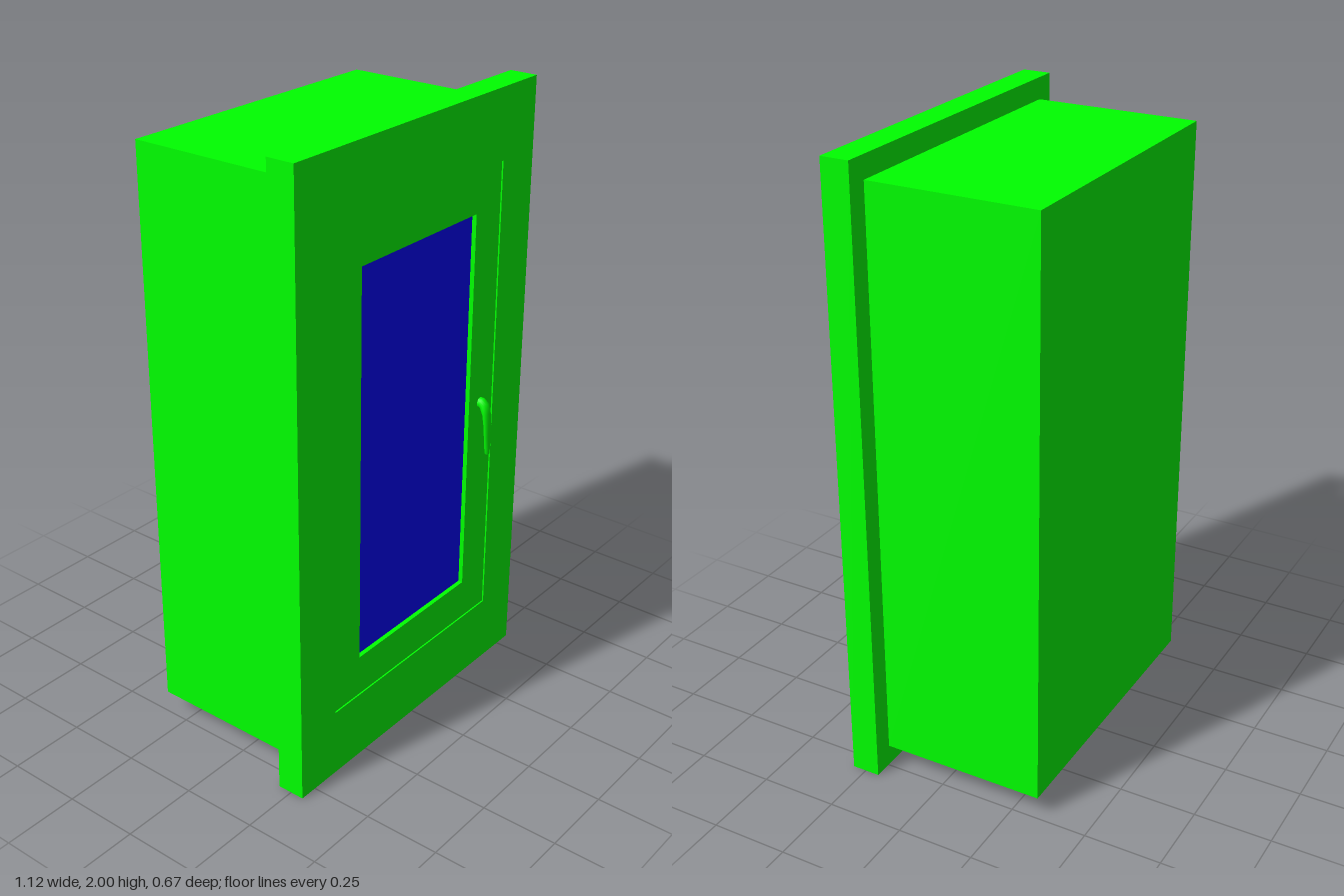
import * as THREE from 'three';

const GREEN = new THREE.MeshStandardMaterial({ color: 0x00ff00 });
const BLUE = new THREE.MeshStandardMaterial({ color: 0x0000ff });

function add(parent, name, geometry, material, x = 0, y = 0, z = 0) {
  const mesh = new THREE.Mesh(geometry, material);
  mesh.name = name;
  mesh.position.set(x, y, z);
  parent.add(mesh);
  return mesh;
}

// Rectangular panel with a rectangular opening, centred on x and y, back at z = 0
function framePanel(w, h, holeW, holeH, depth) {
  const corners = (a, b) => [[-a, -b], [a, -b], [a, b], [-a, b]].map(([x, y]) => new THREE.Vector2(x / 2, y / 2));
  const shape = new THREE.Shape(corners(w, h));
  shape.holes.push(new THREE.Path(corners(holeW, holeH).reverse()));
  return new THREE.ExtrudeGeometry(shape, { depth, bevelEnabled: false });
}

// Lever lofted through elliptical sections: [y, z, half width, half thickness]
function leverGeometry() {
  const sections = [
    [1.0, 0.285, 0.016, 0.018], [1.0, 0.297, 0.016, 0.018], [0.993, 0.308, 0.018, 0.015],
    [0.967, 0.317, 0.019, 0.010], [0.93, 0.322, 0.018, 0.009], [0.89, 0.324, 0.016, 0.008],
    [0.85, 0.325, 0.012, 0.008], [0.83, 0.3255, 0.008, 0.0075], [0.823, 0.3255, 0.003, 0.004],
  ];
  const sides = 20, positions = [], index = [];
  sections.forEach(([y, z, hw, ht], i) => {
    const a = sections[Math.max(i - 1, 0)], b = sections[Math.min(i + 1, sections.length - 1)];
    const len = Math.hypot(b[0] - a[0], b[1] - a[1]);
    const ny = (b[1] - a[1]) / len, nz = -(b[0] - a[0]) / len;
    for (let j = 0; j < sides; j++) {
      const t = (j / sides) * Math.PI * 2, s = Math.sin(t) * ht;
      positions.push(Math.cos(t) * hw, y + ny * s, z + nz * s);
      if (i < sections.length - 1) {
        const p = i * sides + j, q = i * sides + (j + 1) % sides;
        index.push(p, p + sides, q, q, p + sides, q + sides);
      }
    }
  });
  // Close the tip
  const last = (sections.length - 1) * sides;
  for (let j = 1; j < sides - 1; j++) index.push(last, last + j + 1, last + j);
  const g = new THREE.BufferGeometry();
  g.setAttribute('position', new THREE.Float32BufferAttribute(positions, 3));
  g.setIndex(index);
  g.computeVertexNormals();
  return g;
}

export function createModel() {
  const model = new THREE.Group();
  model.name = 'wallCabinet';

  // Box body behind the wide front surround
  add(model, 'cabinetBody', new THREE.BoxGeometry(0.986, 1.86, 0.54), GREEN, 0, 1, -0.065);
  add(model, 'frontSurround', framePanel(1.12, 2, 0.8, 1.55, 0.092), GREEN, 0, 1, 0.203);

  // Door set slightly into the surround, with a recessed pane and a lever
  const door = new THREE.Group();
  door.name = 'door';
  model.add(door);
  add(door, 'doorFrame', framePanel(0.8, 1.55, 0.55, 1.28, 0.087), GREEN, 0, 1, 0.203);
  add(door, 'doorPane', new THREE.BoxGeometry(0.55, 1.28, 0.02), BLUE, 0, 1, 0.265);
  const leverMaterial = GREEN.clone();
  leverMaterial.side = THREE.DoubleSide;
  add(door, 'doorHandle', leverGeometry(), leverMaterial, 0.335);

  return model;
}
